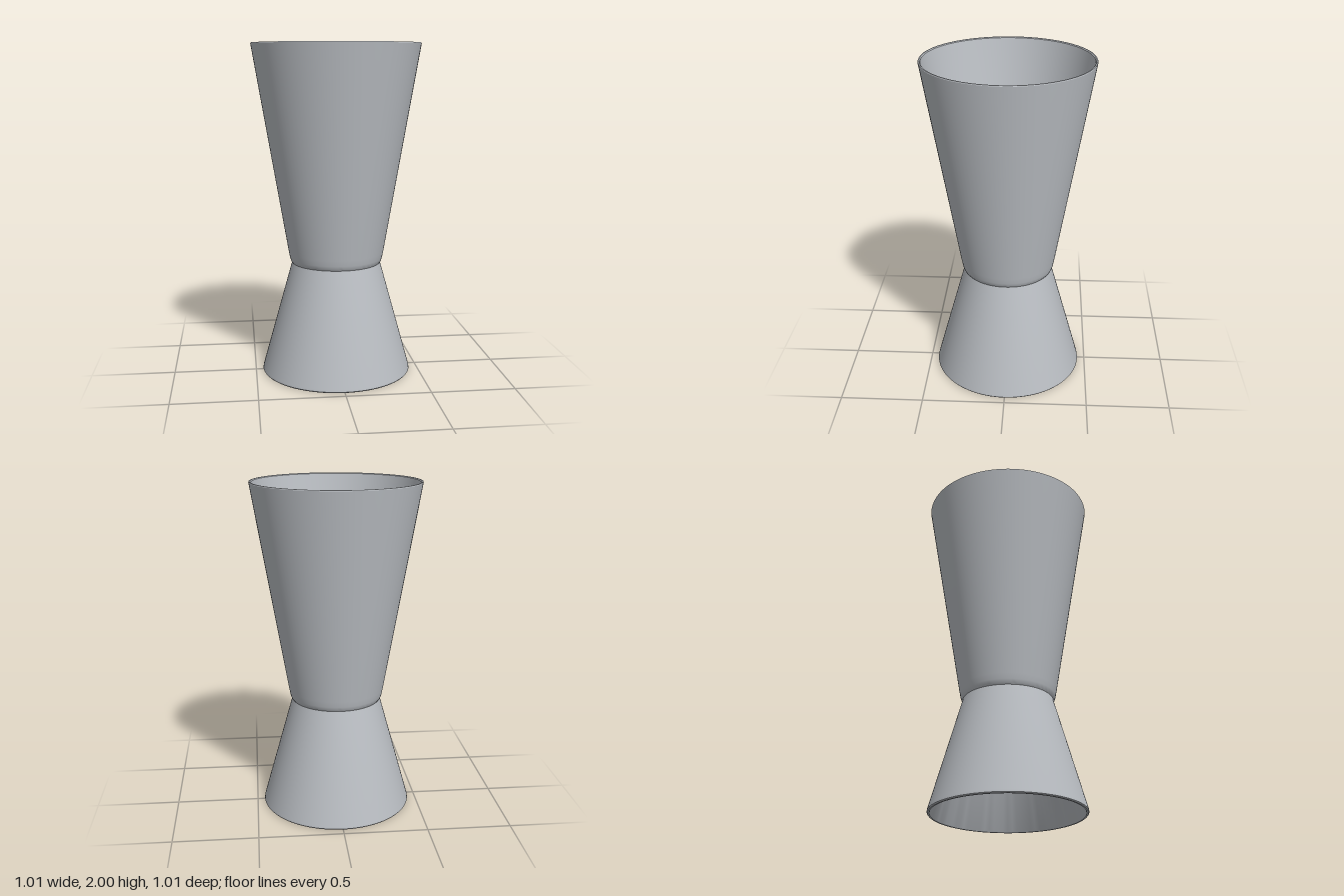
import * as THREE from 'three';
import { toCreasedNormals } from 'three/addons/utils/BufferGeometryUtils.js';

const steel = new THREE.MeshStandardMaterial({ color: 0xbcc0c5 });
steel.name = 'brushed steel';

// Revolve a [radius, height] profile, keeping its hard edges sharp
function turned(name, profile) {
  const points = profile.map(([r, y]) => new THREE.Vector2(r, y));
  const geometry = toCreasedNormals(new THREE.LatheGeometry(points, 96), 0.5);
  const mesh = new THREE.Mesh(geometry, steel);
  mesh.name = name;
  return mesh;
}

export function createModel() {
  const group = new THREE.Group();
  group.name = 'doubleMeasuringCup';

  // Large cup: rounded foot, flared wall, thin rim, hollow with a flat floor
  group.add(turned('largeCup', [
    [0.27, 0.68], [0.277, 0.69], [0.283, 0.71], [0.29, 0.745],
    [0.504, 1.995], [0.502, 2], [0.495, 2], [0.49, 1.995],
    [0.27, 0.735], [0.265, 0.715], [0.255, 0.704], [0.24, 0.7], [0, 0.7],
  ]));

  // Small cup: opens downward, its closed end meeting the large cup
  group.add(turned('smallCup', [
    [0, 0.66], [0.24, 0.66], [0.258, 0.65],
    [0.437, 0.006], [0.441, 0], [0.45, 0], [0.455, 0.006], [0.453, 0.02],
    [0.272, 0.67], [0.27, 0.68],
  ]));

  return group;
}
